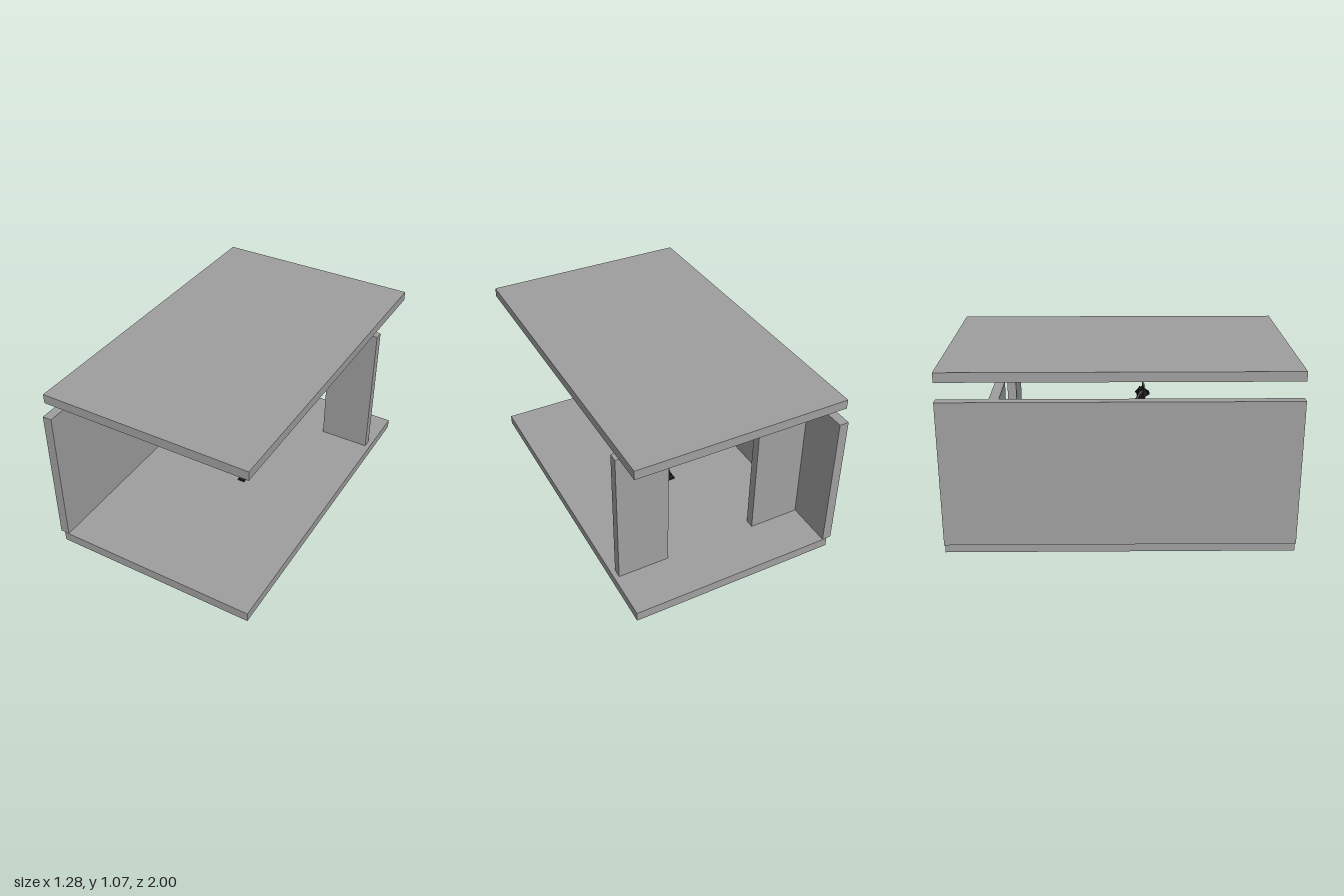
import * as THREE from 'three';

const concrete = new THREE.MeshStandardMaterial({ color: 0xa0a0a0 });
concrete.name = 'concrete grey';
const lampGlass = new THREE.MeshStandardMaterial({ color: 0xcacdb8 });
lampGlass.name = 'pale lamp';
const darkMetal = new THREE.MeshStandardMaterial({ color: 0x1c1e1f });
darkMetal.name = 'dark metal';

// Box given by its lower and upper corners
function slab(parent, name, lo, hi, material) {
  const size = hi.map((v, i) => v - lo[i]);
  const mesh = new THREE.Mesh(new THREE.BoxGeometry(...size), material);
  mesh.position.set(...hi.map((v, i) => (v + lo[i]) / 2));
  mesh.name = name;
  parent.add(mesh);
  return mesh;
}

// Box centred on a point
function block(parent, name, c, s, tilt = [0, 0, 0]) {
  const mesh = new THREE.Mesh(new THREE.BoxGeometry(...s), darkMetal);
  mesh.position.set(...c);
  mesh.rotation.set(...tilt);
  mesh.name = name;
  parent.add(mesh);
}

// Square rod running between two points
function rod(parent, name, a, b, w, d = w) {
  const from = new THREE.Vector3(...a), to = new THREE.Vector3(...b);
  const dir = to.clone().sub(from);
  const mesh = new THREE.Mesh(new THREE.BoxGeometry(w, dir.length(), d), darkMetal);
  mesh.position.copy(from).add(to).multiplyScalar(0.5);
  mesh.quaternion.setFromUnitVectors(new THREE.Vector3(0, 1, 0), dir.normalize());
  mesh.name = name;
  parent.add(mesh);
}

function makeArm(name, shoulder, elbow, wrist, tip, side) {
  const arm = new THREE.Group();
  arm.name = name;
  block(arm, 'shoulder', shoulder, [0.034, 0.036, 0.032], [0, 0, side * 0.2]);
  rod(arm, 'upperArm', shoulder, elbow, 0.014);
  block(arm, 'elbow', elbow, [0.024, 0.034, 0.024]);
  rod(arm, 'forearm', elbow, wrist, 0.014, 0.012);
  block(arm, 'wrist', wrist, [0.022, 0.026, 0.024], [0.4, 0, 0]);
  // Fingers fan out from the wrist
  for (let i = -1; i <= 1; i++) {
    rod(arm, 'finger', [wrist[0] + i * 0.006, wrist[1], wrist[2]],
      [tip[0] + i * 0.009, tip[1] + Math.abs(i) * 0.015, tip[2] - i * 0.012], 0.006);
  }
  return arm;
}

function makeLeg(name, hip, knee, ankle) {
  const leg = new THREE.Group();
  leg.name = name;
  rod(leg, 'thigh', hip, knee, 0.018, 0.015);
  block(leg, 'knee', knee, [0.024, 0.032, 0.024]);
  rod(leg, 'shin', knee, ankle, 0.016, 0.015);
  block(leg, 'ankle', [ankle[0], ankle[1] + 0.01, ankle[2]], [0.026, 0.022, 0.022]);
  block(leg, 'foot', [ankle[0], ankle[1] - 0.001, ankle[2] + 0.018], [0.044, 0.01, 0.105]);
  return leg;
}

function makeFigure() {
  const figure = new THREE.Group();
  figure.name = 'figure';
  const cx = 0.013;

  // Pelvis, spine and waist struts
  block(figure, 'pelvis', [cx, 0.425, 0], [0.078, 0.036, 0.03]);
  rod(figure, 'spine', [cx, 0.42, -0.002], [cx, 0.65, 0.03], 0.018);
  block(figure, 'waist', [cx, 0.5, 0.012], [0.03, 0.06, 0.026], [0.14, 0, 0]);
  for (const s of [-1, 1]) {
    rod(figure, 'waistStrut', [cx + s * 0.033, 0.42, -0.004], [cx + s * 0.01, 0.55, 0.02], 0.012);
    rod(figure, 'hangingRod', [cx + s * 0.014, 0.43, -0.008], [cx + s * 0.026, 0.335, -0.03], 0.006);
    rod(figure, 'collarBone', [cx, 0.64, 0.04], [cx + s * 0.075, 0.63, 0.035], 0.022);
    rod(figure, 'backSpike', [cx + s * 0.02, 0.62, 0.02], [cx + s * 0.032, 0.685, 0.01], 0.006);
  }

  // Chest and rib bars
  block(figure, 'chest', [cx, 0.632, 0.035], [0.12, 0.036, 0.055], [0.15, 0, 0]);
  for (let i = 0; i < 4; i++) {
    const y = 0.608 - i * 0.02, z = 0.035 - i * 0.004;
    block(figure, 'rib', [cx, y, z], [0.09 - i * 0.014, 0.008, 0.046 - i * 0.005],
      [0.15, 0, i % 2 ? 0.12 : -0.12]);
  }

  // Neck leaning forward to the head
  rod(figure, 'neck', [cx, 0.64, 0.04], [cx, 0.72, 0.125], 0.02);
  block(figure, 'collar', [cx, 0.675, 0.08], [0.045, 0.012, 0.02], [0.8, 0, 0]);
  const head = new THREE.Group();
  head.name = 'head';
  figure.add(head);
  block(head, 'skull', [cx, 0.752, 0.138], [0.058, 0.044, 0.05], [0.4, 0, 0]);
  block(head, 'face', [cx, 0.722, 0.14], [0.034, 0.05, 0.034], [0.4, 0, 0]);
  block(head, 'jaw', [cx, 0.69, 0.128], [0.028, 0.016, 0.03], [0.3, 0, 0]);
  block(head, 'brow', [cx, 0.745, 0.168], [0.05, 0.016, 0.03], [-0.5, 0, 0]);
  rod(head, 'crestSpike', [cx, 0.77, 0.14], [0.021, 0.835, 0.146], 0.007);
  for (const s of [-1, 1]) {
    rod(head, 'shortSpike', [cx + s * 0.012, 0.76, 0.14], [cx + s * 0.024, 0.8, 0.152], 0.008);
    // Slanting locks down each side
    for (let i = 0; i < 3; i++) {
      rod(head, 'lock', [cx + s * (0.018 + i * 0.009), 0.785 - i * 0.008, 0.145 - i * 0.008],
        [cx + s * (0.036 + i * 0.016), 0.695 + i * 0.018, 0.14 - i * 0.018], 0.011);
    }
  }

  // Arms reaching forward, legs mid-stride
  figure.add(makeArm('leftArm', [0.092, 0.625, 0.035], [0.108, 0.49, 0.052],
    [0.103, 0.32, 0.105], [0.085, 0.235, 0.118], 1));
  figure.add(makeArm('rightArm', [-0.062, 0.625, 0.045], [-0.094, 0.49, 0.062],
    [-0.08, 0.342, 0.165], [-0.055, 0.255, 0.18], -1));
  figure.add(makeLeg('leftLeg', [0.04, 0.425, 0], [0.066, 0.245, 0.04], [0.068, 0.067, 0.003]));
  figure.add(makeLeg('rightLeg', [-0.016, 0.425, -0.004], [-0.041, 0.245, -0.018], [-0.041, 0.072, -0.085]));
  return figure;
}

export function createModel() {
  const model = new THREE.Group();
  model.name = 'corridor';

  // Room shell
  slab(model, 'floor', [-0.615, 0, -1], [0.64, 0.058, 1], concrete);
  slab(model, 'ceiling', [-0.615, 1.018, -1], [0.64, 1.074, 1], concrete);
  slab(model, 'sideWall', [-0.643, 0.06, -1], [-0.587, 0.915, 1], concrete);
  slab(model, 'rightBackPanel', [-0.587, 0.058, -0.712], [-0.273, 0.915, -0.657], concrete);
  slab(model, 'leftBackPanel', [0.298, 0.058, -0.712], [0.611, 0.915, -0.657], concrete);

  // Lamp hanging under the ceiling
  slab(model, 'ceilingLamp', [-0.13, 0.911, -0.167], [0.155, 0.956, 0.4], lampGlass);

  model.add(makeFigure());
  return model;
}
